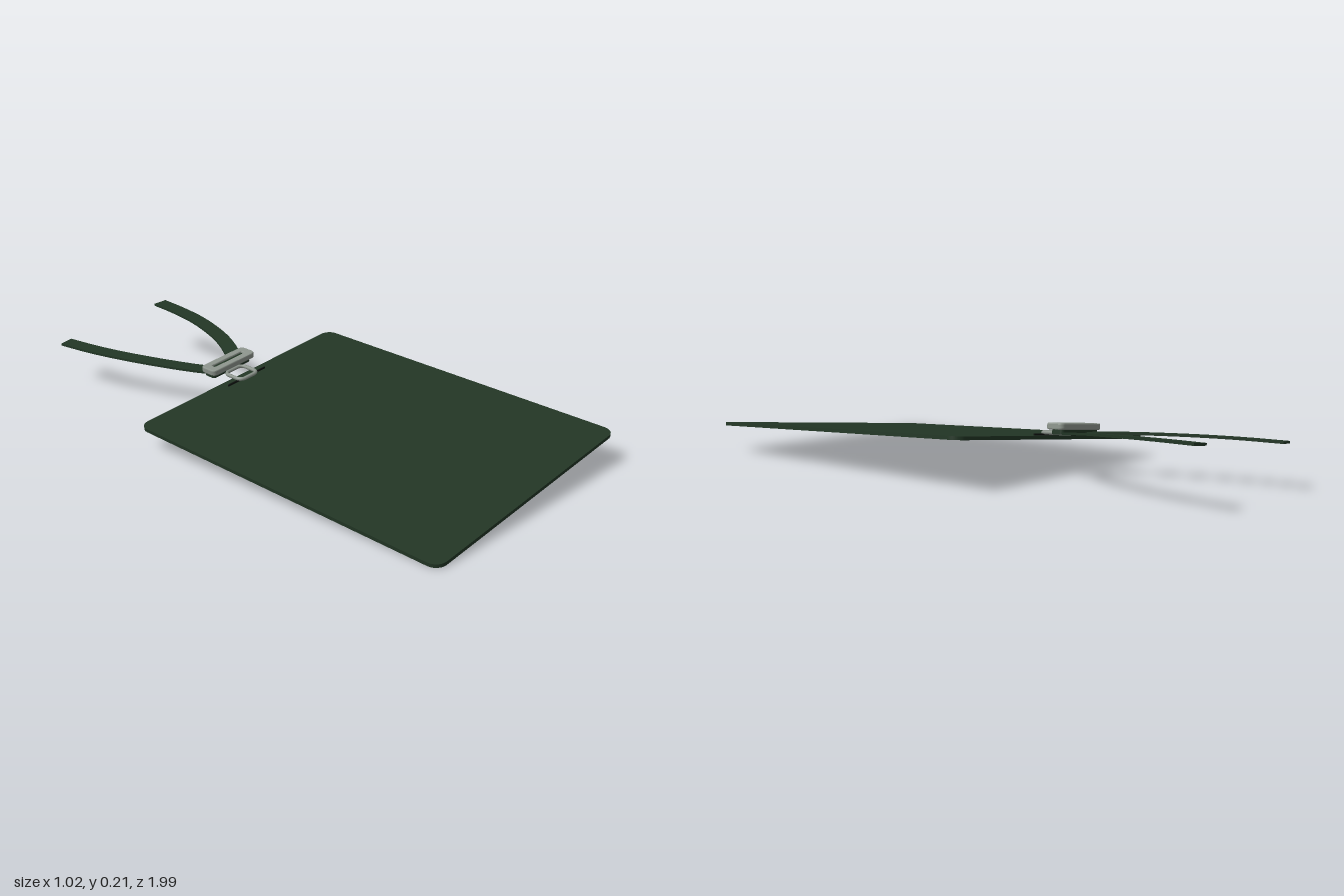
import * as THREE from 'three';

const paint = (name, color, side = THREE.FrontSide) => {
  const m = new THREE.MeshStandardMaterial({ color, side });
  m.name = name;
  return m;
};

function roundedRect(path, w, h, r) {
  const x = w / 2, y = h / 2;
  path.moveTo(-x + r, -y);
  path.lineTo(x - r, -y);
  path.absarc(x - r, -y + r, r, -Math.PI / 2, 0, false);
  path.lineTo(x, y - r);
  path.absarc(x - r, y - r, r, 0, Math.PI / 2, false);
  path.lineTo(-x + r, y);
  path.absarc(-x + r, y - r, r, Math.PI / 2, Math.PI, false);
  path.lineTo(-x, -y + r);
  path.absarc(-x + r, -y + r, r, Math.PI, Math.PI * 1.5, false);
  return path;
}

// Flat plate lying in xz, centred on its own thickness
function plate(w, l, r, t, bevel = 0, hole = null) {
  const shape = roundedRect(new THREE.Shape(), w - 2 * bevel, l - 2 * bevel, r);
  if (hole) shape.holes.push(roundedRect(new THREE.Path(), ...hole));
  const depth = t - 2 * bevel;
  const geo = new THREE.ExtrudeGeometry(shape, {
    depth, curveSegments: 8, bevelEnabled: bevel > 0,
    bevelSize: bevel, bevelThickness: bevel, bevelSegments: 2,
  });
  return geo.translate(0, 0, -depth / 2).rotateX(-Math.PI / 2);
}

// Flat ribbon with a box section swept along a curve
function ribbon(points, width, thick, tilt) {
  const curve = new THREE.CatmullRomCurve3(points.map(p => new THREE.Vector3(...p)));
  const n = 24;
  const geo = new THREE.BoxGeometry(1, 1, 1, 1, 1, n);
  const pos = geo.attributes.position;
  for (let i = 0; i < pos.count; i++) {
    const u = 0.5 - pos.getZ(i);
    const c = curve.getPoint(u), t = curve.getTangent(u);
    const side = new THREE.Vector3(-t.z, 0, t.x).normalize();
    side.y = tilt * side.x;
    c.addScaledVector(side, pos.getX(i) * width);
    c.y += pos.getY(i) * thick;
    pos.setXYZ(i, c.x, c.y, c.z);
  }
  geo.computeVertexNormals();
  return geo;
}

export function createModel() {
  const green = paint('dark green', 0x223625);
  const metal = paint('grey metal', 0x8c948c);
  const black = paint('black slot', 0x0c100c);

  const model = new THREE.Group();
  const add = (parent, name, geo, mat, x = 0, y = 0, z = 0) => {
    const mesh = new THREE.Mesh(geo, mat);
    mesh.name = name;
    mesh.position.set(x, y, z);
    parent.add(mesh);
    return mesh;
  };

  // Shared tilt of the card and its hardware
  const across = new THREE.Vector3(0.98, 0.103, 0.035).normalize();
  const along = new THREE.Vector3(-0.032, -0.07, 1.255).normalize();
  const up = new THREE.Vector3().crossVectors(along, across).normalize();
  along.crossVectors(across, up);
  const tilt = new THREE.Quaternion().setFromRotationMatrix(
    new THREE.Matrix4().makeBasis(across, up, along));
  const tiltedGroup = (name, x, y, z) => {
    const g = new THREE.Group();
    g.name = name;
    g.position.set(x, y, z);
    g.quaternion.copy(tilt);
    model.add(g);
    return g;
  };

  // Card with a slim slot edge near its top
  const card = tiltedGroup('card', -0.003, 0.091, 0.35);
  add(card, 'cardPanel', plate(0.985, 1.255, 0.04, 0.012), green);
  add(card, 'cardSlot', new THREE.BoxGeometry(0.19, 0.008, 0.005), black, 0, 0.008, -0.595);

  // Buckle frame with the strap showing through its window
  const buckle = tiltedGroup('buckle', 0.013, 0.17, -0.335);
  add(buckle, 'buckleFrame', plate(0.215, 0.072, 0.014, 0.022, 0.004, [0.16, 0.024, 0.008]), metal);
  add(buckle, 'strapInBuckle', plate(0.165, 0.03, 0.008, 0.012), green, 0, -0.002, 0);
  add(buckle, 'strapFold', plate(0.19, 0.05, 0.012, 0.016), green, 0, -0.019, -0.004);

  // Wire loop joining the buckle to the card
  const loop = tiltedGroup('wireLoop', 0.013, 0.142, -0.27);
  const wire = roundedRect(new THREE.Path(), 0.088, 0.085, 0.022).getSpacedPoints(40);
  const wireCurve = new THREE.CatmullRomCurve3(
    wire.slice(0, -1).map(p => new THREE.Vector3(p.x, 0, p.y)), true);
  add(loop, 'wire', new THREE.TubeGeometry(wireCurve, 64, 0.007, 8, true), metal);

  // Neck straps sweeping away from the buckle
  add(model, 'rightStrap', ribbon([
    [-0.02, 0.143, -0.33], [-0.06, 0.145, -0.4], [-0.11, 0.149, -0.52],
    [-0.165, 0.153, -0.7], [-0.195, 0.155, -0.85], [-0.209, 0.156, -0.998],
  ], 0.055, 0.008, 0.09), green);
  add(model, 'leftStrap', ribbon([
    [0.05, 0.15, -0.33], [0.105, 0.16, -0.4], [0.172, 0.178, -0.52],
    [0.234, 0.194, -0.7], [0.263, 0.202, -0.85], [0.28, 0.206, -0.982],
  ], 0.056, 0.008, 0.09), green);

  return model;
}
